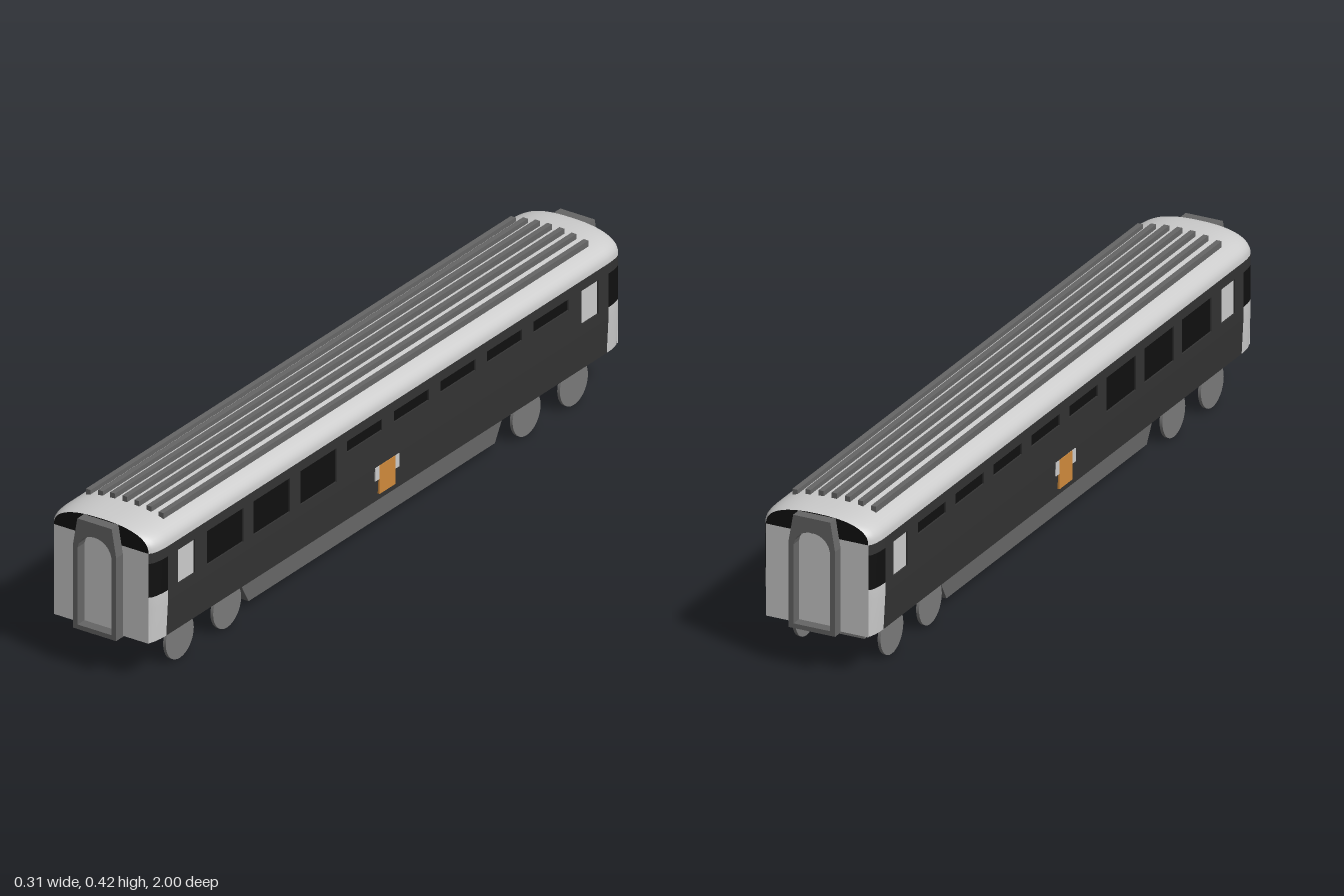
import * as THREE from 'three';

const mat = (color) => new THREE.MeshStandardMaterial({ color, side: THREE.DoubleSide });
const LIGHT = mat(0xcccccc), GREY = mat(0x666666), WHEEL = mat(0x7a7a7a);
const DARK = mat(0x333333), BLACK = mat(0x101010), ORANGE = mat(0xd08a3c);

const FLOOR = 0.107, EAVE = 0.347, WALL = 0.152, END = 0.972, SHOULDER = 0.912;

function add(parent, name, geometry, material, x = 0, y = 0, z = 0) {
  const mesh = new THREE.Mesh(geometry, material);
  mesh.name = name;
  mesh.position.set(x, y, z);
  parent.add(mesh);
  return mesh;
}

// Surface through a row of cross-sections, each a list of [x, y, z]
function loft(sections) {
  const n = sections[0].length, index = [];
  for (let i = 0; i < sections.length - 1; i++) {
    for (let j = 0; j < n - 1; j++) {
      const a = i * n + j, b = a + n;
      index.push(a, a + 1, b, a + 1, b + 1, b);
    }
  }
  const g = new THREE.BufferGeometry();
  g.setAttribute('position', new THREE.Float32BufferAttribute(sections.flat(2), 3));
  g.setIndex(index);
  g.computeVertexNormals();
  return g;
}

const shapeOf = (points) => new THREE.Shape(points.map(([x, y]) => new THREE.Vector2(x, y)));

// Rectangle between two z positions, drawn with u = -z
const rect = (z0, z1, y0, y1) => [[-z1, y0], [-z0, y0], [-z0, y1], [-z1, y1]];

// Windows: [zMin, zMax, yMin, yMax, material]
const windows = [[0.8, 0.87, 0.23, 0.32, LIGHT], [-0.87, -0.8, 0.23, 0.32, LIGHT]];
for (let i = 0; i < 3; i++) windows.push([0.6 - i * 0.193, 0.75 - i * 0.193, 0.23, 0.32, BLACK]);
for (let i = 0; i < 5; i++) windows.push([0.025 - i * 0.193, 0.17 - i * 0.193, 0.29, 0.32, BLACK]);

// Half-width of the body, tucked in towards the sill
const sideX = (y) => WALL - 0.005 * Math.max(0, (0.2 - y) / (0.2 - FLOOR));

// Width factor along the rounded ends of the coach
const endStations = [0, 0.35, 0.65, 0.87, 1].map((t) => [
  SHOULDER + (END - SHOULDER) * t, 1 - 0.11 * (1 - Math.sqrt(1 - t * t * 0.98)),
]);
const endScale = endStations[endStations.length - 1][1];

// Roof arch from eave to eave
const arch = [];
for (let i = 0; i <= 28; i++) {
  const a = (Math.PI * i) / 28, c = Math.cos(a);
  arch.push([WALL * Math.sign(c) * Math.pow(Math.abs(c), 0.82), 0.06 * Math.pow(Math.sin(a), 0.82)]);
}

function makeSide(s) {
  const side = new THREE.Group();
  side.name = s > 0 ? 'leftSide' : 'rightSide';

  // Upper wall with window openings
  const wall = shapeOf(rect(-SHOULDER, SHOULDER, 0.2, EAVE));
  for (const [z0, z1, y0, y1] of windows) {
    wall.holes.push(new THREE.Path(rect(z0, z1, y0, y1).map(([x, y]) => new THREE.Vector2(x, y))));
  }
  const wallGeo = new THREE.ExtrudeGeometry(wall, { depth: 0.006, bevelEnabled: false }).rotateY(Math.PI / 2);
  add(side, 'upperWall', wallGeo, DARK, s > 0 ? WALL - 0.006 : -WALL);

  // Tucked-in lower wall
  const strip = (y) => [[s * sideX(y), y, -SHOULDER], [s * sideX(y), y, SHOULDER]];
  add(side, 'lowerWall', loft([strip(FLOOR), strip(0.2)]), DARK);

  // Recessed panes
  for (const [z0, z1, y0, y1, m] of windows) {
    add(side, 'windowPane', new THREE.BoxGeometry(0.002, y1 - y0, z1 - z0), m,
      s * (WALL - 0.005), (y0 + y1) / 2, (z0 + z1) / 2);
  }

  // Curved corners at both ends: light panel, black window, dark band
  const bands = [['cornerPanel', FLOOR, 0.23, LIGHT], ['cornerWindow', 0.23, 0.32, BLACK], ['cornerBand', 0.32, EAVE, DARK]];
  for (const e of [1, -1]) {
    for (const [name, y0, y1, m] of bands) {
      const rows = [y0, ...(y0 < 0.2 ? [0.2] : []), y1];
      const sections = endStations.map(([z, k]) => rows.map((y) => [s * sideX(y) * k, y, e * z]));
      add(side, name, loft(sections), m);
    }
  }

  // Coloured plate with a lighter backing bar
  add(side, 'plateBacking', new THREE.BoxGeometry(0.003, 0.035, 0.1), LIGHT, s * 0.152, 0.183, 0.005);
  add(side, 'sidePlate', new THREE.BoxGeometry(0.006, 0.075, 0.066), ORANGE, s * 0.151, 0.163, 0.005);
  return side;
}

function makeEnd(e) {
  const end = new THREE.Group();
  end.name = e > 0 ? 'frontEnd' : 'backEnd';
  const w = WALL * endScale;

  // End wall and dark arch beneath the roof
  add(end, 'endWall', new THREE.BoxGeometry(2 * w, EAVE - FLOOR, 0.004), LIGHT, 0, (EAVE + FLOOR) / 2, END - 0.002);
  const cap = shapeOf(arch.map(([x, y]) => [x * endScale, EAVE + y * endScale]));
  add(end, 'endArch', new THREE.ShapeGeometry(cap), BLACK, 0, 0, END);

  // Gangway frame with an arched opening
  const frame = shapeOf([[-0.063, 0.104], [0.063, 0.104], [0.063, 0.325], [0.05, 0.399], [-0.05, 0.399], [-0.063, 0.325]]);
  const hole = new THREE.Path();
  hole.moveTo(-0.049, 0.116);
  hole.lineTo(0.049, 0.116);
  hole.lineTo(0.049, 0.322);
  hole.bezierCurveTo(0.04, 0.375, -0.04, 0.375, -0.049, 0.322);
  hole.closePath();
  frame.holes.push(hole);
  const frameGeo = new THREE.ExtrudeGeometry(frame, { depth: 1 - END + 0.012, bevelEnabled: false });
  add(end, 'gangwayFrame', frameGeo, GREY, 0, 0, END - 0.012);

  if (e < 0) end.rotation.y = Math.PI;
  return end;
}

function makeBogie(z) {
  const bogie = new THREE.Group();
  bogie.name = 'bogie';
  bogie.position.z = z;
  add(bogie, 'bogieFrame', new THREE.BoxGeometry(0.118, 0.042, 0.25), WHEEL, 0, 0.057, 0);
  add(bogie, 'pivot', new THREE.CylinderGeometry(0.033, 0.033, 0.032, 24), GREY, 0, 0.092, 0);
  for (const dz of [-0.098, 0.098]) {
    add(bogie, 'axle', new THREE.CylinderGeometry(0.006, 0.006, 0.19, 12).rotateZ(Math.PI / 2), GREY, 0, 0.06, dz);
    for (const s of [1, -1]) {
      add(bogie, 'wheel', new THREE.CylinderGeometry(0.058, 0.058, 0.008, 32).rotateZ(Math.PI / 2), WHEEL, s * 0.115, 0.058, dz);
    }
  }
  return bogie;
}

export function createModel() {
  const coach = new THREE.Group();
  coach.name = 'railwayCoach';

  // Body shell
  coach.add(makeSide(1), makeSide(-1), makeEnd(1), makeEnd(-1));

  // Floor following the rounded plan
  const plan = [...endStations.map(([z, k]) => [z, k]).reverse(), ...endStations.map(([z, k]) => [-z, k])];
  const sill = sideX(FLOOR);
  add(coach, 'floor', loft(plan.map(([z, k]) => [[-sill * k, FLOOR, z], [sill * k, FLOOR, z]])), DARK);

  // Arched roof, drawn in at both ends
  add(coach, 'roof', loft(plan.map(([z, k]) => arch.map(([x, y]) => [x * k, EAVE + y * k, z]))), LIGHT);

  // Lengthwise roof ribs
  for (let i = -3; i <= 3; i++) {
    const top = 0.421 - 0.0014 * i * i;
    add(coach, 'roofRib', new THREE.BoxGeometry(0.014, 0.022, 1.76), GREY, i * 0.0353, top - 0.011, -0.005);
  }

  // Underframe equipment casing with sloping ends
  const casing = shapeOf([[-0.51, 0.02], [0.51, 0.02], [0.56, FLOOR], [-0.56, FLOOR]]);
  const casingGeo = new THREE.ExtrudeGeometry(casing, { depth: 0.208, bevelEnabled: false })
    .translate(0, 0, -0.104).rotateY(Math.PI / 2);
  add(coach, 'underframeCasing', casingGeo, GREY);

  coach.add(makeBogie(0.718), makeBogie(-0.718));
  return coach;
}
